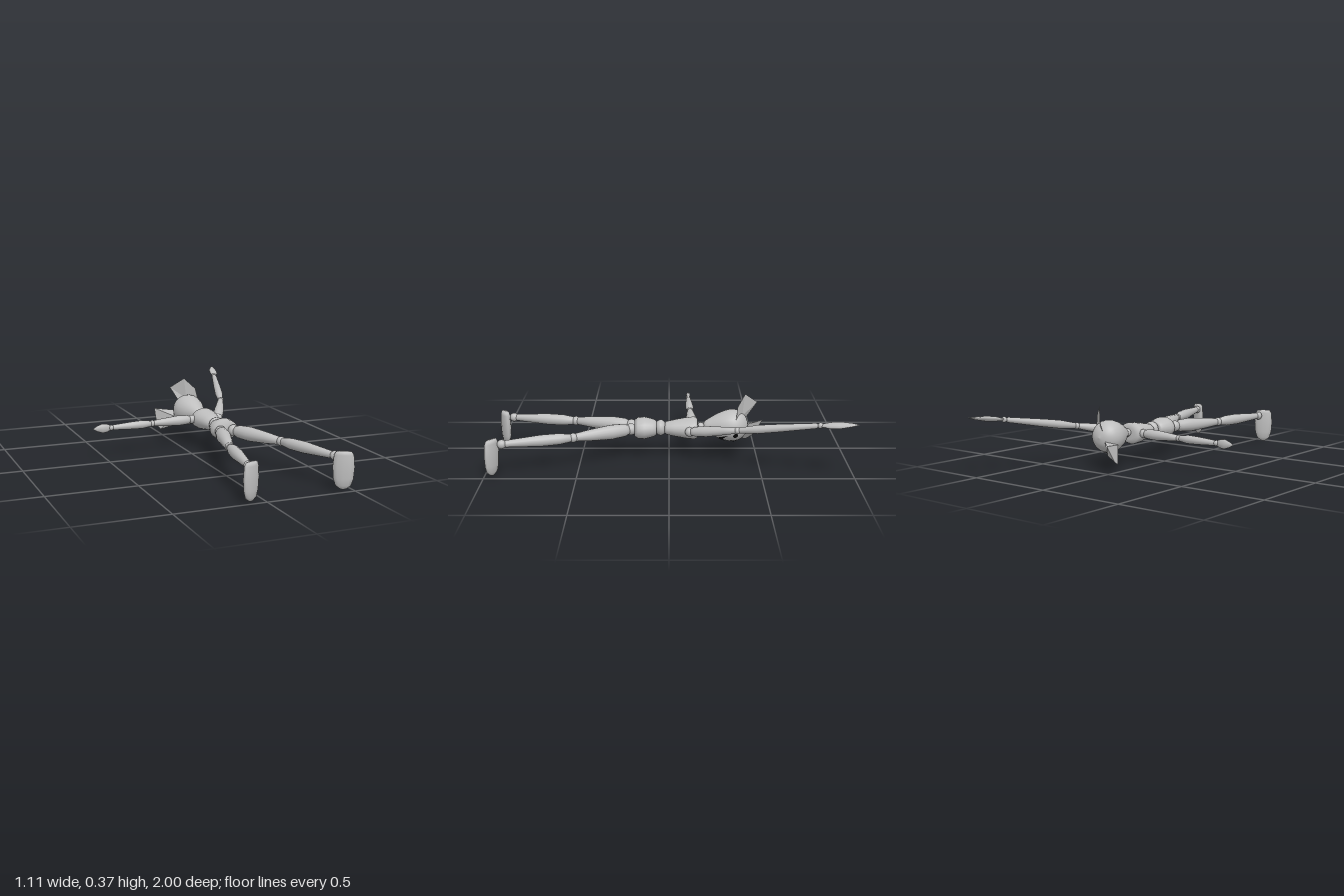
import * as THREE from 'three';

export function createModel() {
  const model = new THREE.Group();
  model.name = 'flyingMannequin';
  const grey = new THREE.MeshStandardMaterial({ color: 0xbebebe });
  grey.name = 'pale grey';
  const greyThin = new THREE.MeshStandardMaterial({ color: 0xbebebe, side: THREE.DoubleSide, flatShading: true });
  greyThin.name = 'pale grey ear';
  const black = new THREE.MeshStandardMaterial({ color: 0x0a0a0a, side: THREE.DoubleSide });
  black.name = 'black';

  const V = (p) => new THREE.Vector3(...p);
  const add = (name, geometry, material = grey) => {
    const mesh = new THREE.Mesh(geometry, material);
    mesh.name = name;
    model.add(mesh);
    return mesh;
  };

  // Turned piece from a to b; profile holds [distance fraction, radius] pairs
  const turned = (name, a, b, profile, sides = 16, depth = 1) => {
    const start = V(a);
    const dir = V(b).sub(start);
    const len = dir.length();
    const mesh = add(name, new THREE.LatheGeometry(profile.map(([t, r]) => new THREE.Vector2(r, t * len)), sides));
    mesh.position.copy(start);
    mesh.quaternion.setFromUnitVectors(new THREE.Vector3(0, 1, 0), dir.normalize());
    mesh.scale.z = depth;
    return mesh;
  };
  const ball = (name, p, r, sx = 1, sy = 1, sz = 1) => {
    const mesh = add(name, new THREE.SphereGeometry(r, 16, 10));
    mesh.position.set(...p);
    mesh.scale.set(sx, sy, sz);
  };

  // Torso
  turned('chest', [0.135, 0.17, 0.025], [0.135, 0.17, -0.165],
    [[0, 0], [0, 0.035], [0.06, 0.048], [0.3, 0.06], [0.7, 0.077], [0.9, 0.08], [0.97, 0.07], [1, 0.045], [1, 0]], 20, 0.78);
  ball('waist', [0.135, 0.172, 0.048], 0.045, 1, 1, 0.75);
  turned('pelvis', [0.135, 0.17, 0.195], [0.135, 0.17, 0.07],
    [[0, 0], [0, 0.06], [0.15, 0.076], [0.45, 0.079], [0.8, 0.065], [0.95, 0.055], [1, 0.045], [1, 0]], 20, 0.78);
  ball('neck', [0.135, 0.178, -0.18], 0.024);

  // Egg-shaped head, chin towards +z
  const chin = [0.135, 0.18, -0.195], crown = [0.11, 0.183, -0.45];
  const headCurve = new THREE.SplineCurve(
    [[0, 0], [0.02, 0.025], [0.15, 0.047], [0.4, 0.078], [0.63, 0.092], [0.82, 0.08], [0.95, 0.045], [1, 0]]
      .map((p) => new THREE.Vector2(...p))).getPoints(28);
  turned('head', chin, crown, headCurve.map((p) => [p.x, Math.max(0, p.y)]), 24);

  // Point just above the head surface, by angle about its axis and by z
  const onHead = (angle, z) => {
    const t = (z - chin[2]) / (crown[2] - chin[2]);
    const i = Math.max(1, headCurve.findIndex((p) => p.x >= t));
    const p = headCurve[i - 1], q = headCurve[i];
    const r = THREE.MathUtils.lerp(p.y, q.y, (t - p.x) / (q.x - p.x)) + 0.003;
    return [THREE.MathUtils.lerp(chin[0], crown[0], t) + r * Math.cos(angle), 0.182 + r * Math.sin(angle), z];
  };
  const wrapOnHead = (name, geometry) => {
    const pos = geometry.attributes.position;
    for (let i = 0; i < pos.count; i++) pos.setXYZ(i, ...onHead(pos.getX(i), pos.getY(i)));
    geometry.computeVertexNormals();
    add(name, geometry, black);
  };

  // Eyes and smile, in angle and z
  const rad = THREE.MathUtils.degToRad, faceAngle = rad(-55);
  for (const [name, s] of [['leftEye', 1], ['rightEye', -1]]) {
    const eye = new THREE.CircleGeometry(0.015, 12);
    eye.scale(11, 1, 1).translate(faceAngle + s * rad(30), -0.375, 0);
    wrapOnHead(name, eye);
  }
  const smile = new THREE.PlaneGeometry(2, 1, 16, 3);
  const sp = smile.attributes.position;
  for (let i = 0; i < sp.count; i++) {
    const s = sp.getX(i), v = sp.getY(i) + 0.5;
    const upper = -0.303 - 0.03 * s * s, lower = -0.278 - 0.055 * s * s;
    sp.setXY(i, faceAngle + s * rad(32), THREE.MathUtils.lerp(lower, upper, v));
  }
  wrapOnHead('smile', smile);

  // Folded ears: a fan of facets round one inner point
  const ear = (name, centre, rim) => {
    const tris = [];
    for (let i = 0; i < rim.length - 1; i++) tris.push(...centre, ...rim[i], ...rim[i + 1]);
    const g = new THREE.BufferGeometry();
    g.setAttribute('position', new THREE.Float32BufferAttribute(tris, 3));
    g.computeVertexNormals();
    add(name, g, greyThin);
  };
  ear('upperEar', [0.13, 0.24, -0.415],
    [[0.12, 0.2, -0.42], [0.195, 0.225, -0.375], [0.178, 0.305, -0.385], [0.12, 0.365, -0.43],
      [0.055, 0.3, -0.505], [0.09, 0.22, -0.44], [0.12, 0.2, -0.42]]);
  ear('lowerEar', [0, 0.105, -0.505],
    [[-0.035, 0.165, -0.548], [-0.04, 0.07, -0.49], [-0.028, 0.05, -0.45], [0.085, 0.1, -0.37], [0.075, 0.165, -0.44]]);
  ear('lowerEarBack', [0.03, 0.145, -0.38],
    [[0.085, 0.1, -0.37], [-0.028, 0.05, -0.45], [-0.04, 0.07, -0.49], [-0.035, 0.165, -0.548], [0.075, 0.165, -0.44]]);

  // Arms
  const upperArm = [[0, 0], [0.02, 0.018], [0.12, 0.027], [0.35, 0.03], [0.75, 0.022], [0.97, 0.016], [1, 0]];
  const foreArm = [[0, 0], [0.03, 0.016], [0.25, 0.024], [0.5, 0.022], [0.95, 0.015], [1, 0]];
  const hand = [[0, 0], [0.03, 0.014], [0.25, 0.025], [0.5, 0.028], [0.8, 0.016], [1, 0.002]];
  const arms = {
    left: [[0.215, 0.172, -0.115], [0.345, 0.222, -0.375], [0.483, 0.295, -0.805], [0.552, 0.32, -1]],
    right: [[0.05, 0.175, -0.13], [-0.2, 0.172, -0.125], [-0.452, 0.17, -0.12], [-0.56, 0.17, -0.12]],
  };
  for (const [side, [shoulder, elbow, wrist, tip]] of Object.entries(arms)) {
    ball(side + 'Shoulder', shoulder, 0.026);
    turned(side + 'UpperArm', shoulder, elbow, upperArm);
    ball(side + 'Elbow', elbow, 0.019);
    turned(side + 'Forearm', elbow, wrist, foreArm);
    ball(side + 'Wrist', wrist, 0.016);
    turned(side + 'Hand', wrist, tip, hand, 10, 0.5);
  }

  // Legs and hanging feet
  const thigh = [[0, 0], [0.03, 0.024], [0.12, 0.036], [0.35, 0.041], [0.7, 0.032], [0.96, 0.022], [1, 0]];
  const shin = [[0, 0], [0.04, 0.022], [0.2, 0.031], [0.45, 0.032], [0.95, 0.019], [1, 0]];
  const sole = [[0, 0], [0.03, 0.018], [0.12, 0.042], [0.3, 0.054], [0.6, 0.059], [0.9, 0.053], [0.98, 0.042], [1, 0]];
  const legs = {
    left: [[0.17, 0.173, 0.215], [0.312, 0.17, 0.528], [0.428, 0.172, 0.905], [0.452, 0, 0.957], -1],
    right: [[0.09, 0.173, 0.215], [0, 0.17, 0.54], [-0.063, 0.172, 0.91], [-0.072, 0, 0.962], 1],
  };
  for (const [side, [hip, knee, ankle, toe, turn]] of Object.entries(legs)) {
    ball(side + 'Hip', hip, 0.033);
    turned(side + 'Thigh', hip, knee, thigh);
    ball(side + 'Knee', knee, 0.026);
    turned(side + 'Shin', knee, ankle, shin);
    ball(side + 'Ankle', ankle, 0.025);
    const foot = turned(side + 'Foot', toe, [toe[0], 0.207, toe[2]], sole, 10, 0.42);
    foot.rotation.y = turn * rad(28);
  }
  return model;
}
